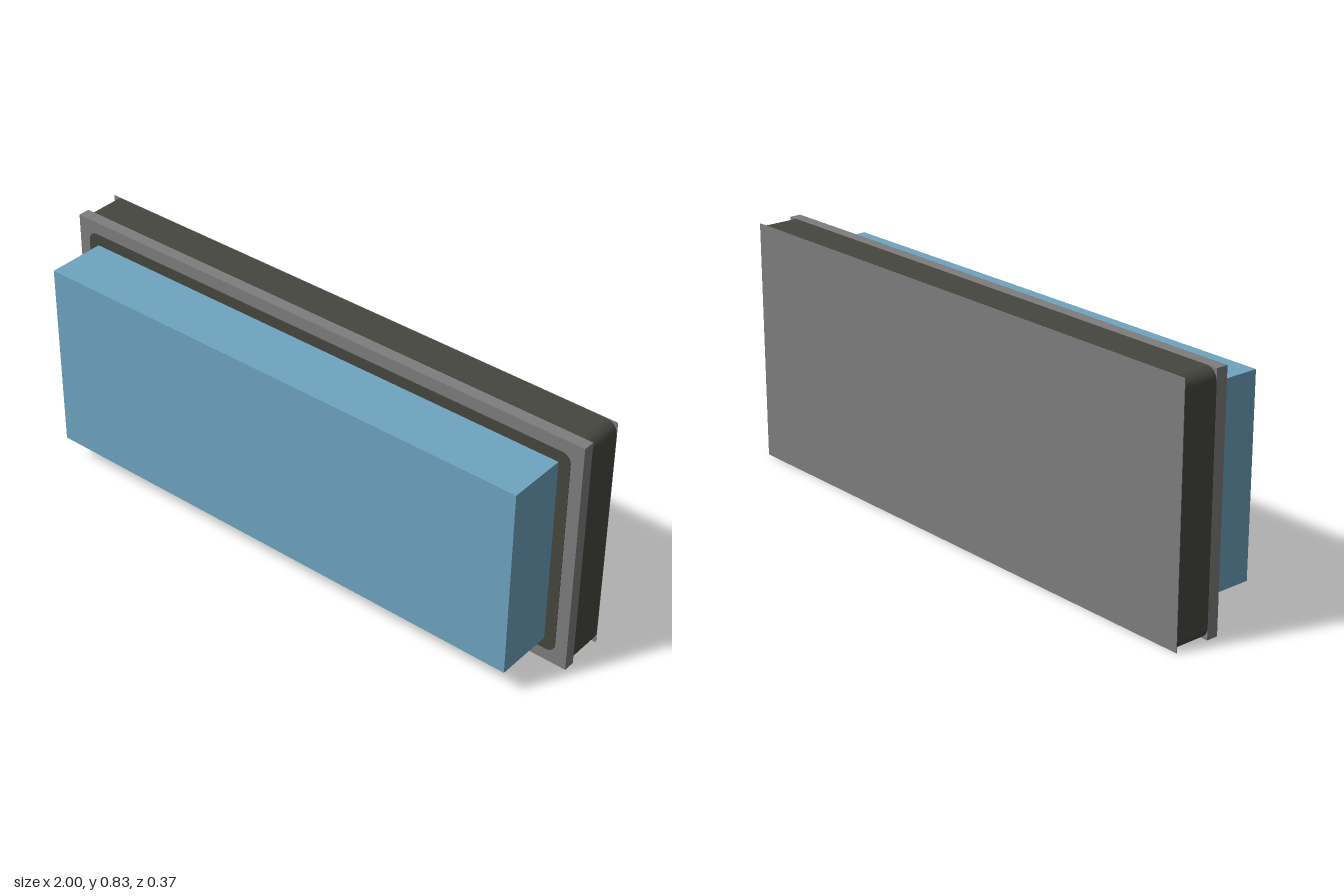
import * as THREE from 'three';

const grey = new THREE.MeshStandardMaterial({ color: 0x7d7d7d });
grey.name = 'mid grey';
const dark = new THREE.MeshStandardMaterial({ color: 0x464640 });
dark.name = 'dark grey';
const blue = new THREE.MeshStandardMaterial({ color: 0x6ea4c0 });
blue.name = 'soft blue';

const CENTRE_Y = 0.417;

// Rectangle with rounded corners, centred on the origin
function roundedRect(w, h, r) {
  const x = w / 2, y = h / 2;
  const s = new THREE.Shape();
  s.moveTo(-x + r, -y);
  s.lineTo(x - r, -y);
  s.absarc(x - r, -y + r, r, -Math.PI / 2, 0);
  s.lineTo(x, y - r);
  s.absarc(x - r, y - r, r, 0, Math.PI / 2);
  s.lineTo(-x + r, y);
  s.absarc(-x + r, y - r, r, Math.PI / 2, Math.PI);
  s.lineTo(-x, -y + r);
  s.absarc(-x + r, -y + r, r, Math.PI, Math.PI * 1.5);
  return s;
}

function place(group, name, geometry, material, z) {
  const mesh = new THREE.Mesh(geometry, material);
  mesh.name = name;
  mesh.position.set(0, CENTRE_Y, z);
  group.add(mesh);
}

// Sharp-cornered slab between two depths
function slab(group, name, w, h, z0, z1, material) {
  place(group, name, new THREE.BoxGeometry(w, h, z1 - z0), material, (z0 + z1) / 2);
}

// Round-cornered slab between two depths
function roundedSlab(group, name, w, h, r, z0, z1, material) {
  const geometry = new THREE.ExtrudeGeometry(roundedRect(w, h, r), {
    depth: z1 - z0, bevelEnabled: false, curveSegments: 8,
  });
  place(group, name, geometry, material, z0);
}

export function createModel() {
  const model = new THREE.Group();
  model.name = 'panel';

  // Backing: thin rear sheet, round-cornered core, square front flange
  slab(model, 'rearSheet', 2, 0.834, -0.187, -0.185, grey);
  roundedSlab(model, 'core', 2, 0.834, 0.04, -0.185, -0.062, dark);
  slab(model, 'frontFlange', 2, 0.834, -0.062, -0.021, grey);

  // Seal lying on the flange around the block
  roundedSlab(model, 'seal', 1.914, 0.746, 0.032, -0.021, -0.019, dark);

  // Projecting block
  slab(model, 'frontBlock', 1.834, 0.667, -0.02, 0.187, blue);

  return model;
}
